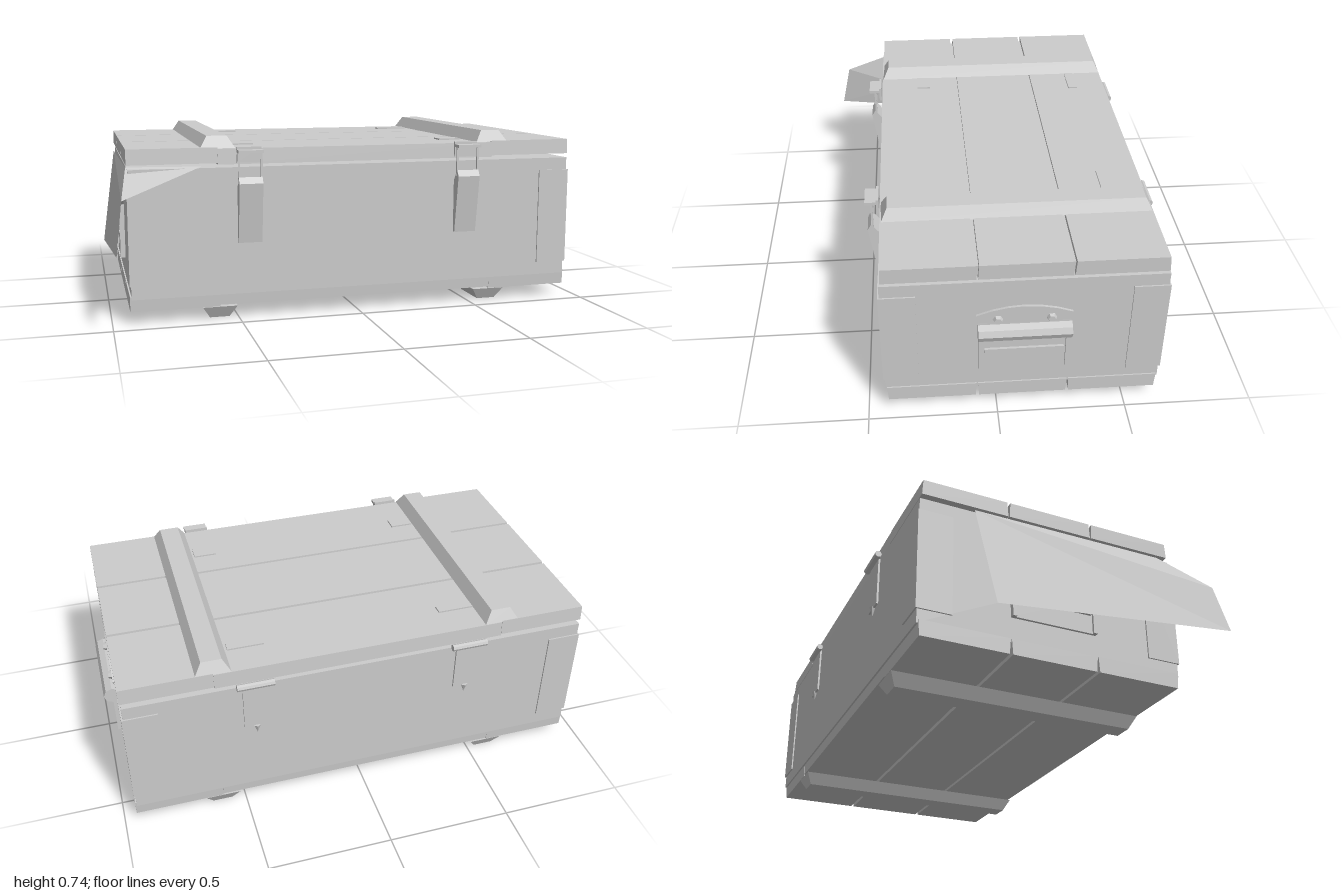
import * as THREE from 'three';

const mat = new THREE.MeshStandardMaterial({ color: 0xcccccc, flatShading: true, side: THREE.DoubleSide });

export function createModel() {
  const model = new THREE.Group();
  const crate = new THREE.Group();
  crate.name = 'crate';
  crate.position.set(0.01, 0, -0.1); // the crate sits off centre; the torn sheet reaches forward
  model.add(crate);

  const add = (name, geo, parent = crate) => {
    const mesh = new THREE.Mesh(geo, mat);
    mesh.name = name;
    parent.add(mesh);
    return mesh;
  };
  // box given by its limits on each axis
  const box = (name, x0, x1, y0, y1, z0, z1, parent) =>
    add(name, new THREE.BoxGeometry(x1 - x0, y1 - y0, z1 - z0)
      .translate((x0 + x1) / 2, (y0 + y1) / 2, (z0 + z1) / 2), parent);
  // box whose face on side s of the y axis is shrunk by dx and dz
  const tapered = (name, w, h, d, dx, dz, s) => {
    const geo = new THREE.BoxGeometry(w, h, d);
    const p = geo.attributes.position;
    for (let i = 0; i < p.count; i++) {
      if (p.getY(i) * s <= 0) continue;
      p.setX(i, p.getX(i) - Math.sign(p.getX(i)) * dx);
      p.setZ(i, p.getZ(i) - Math.sign(p.getZ(i)) * dz);
    }
    return add(name, geo);
  };

  box('body', -0.935, 0.935, 0.1, 0.612, -0.53, 0.53);

  // planks of the lid and floor: three rows, split under the battens
  for (const s of [1, -1]) {
    const part = s > 0 ? 'lid' : 'floor';
    for (let row = -1; row <= 1; row++) {
      for (let col = -1; col <= 1; col++) {
        const w = col === 0 ? 1.17 : 0.355;
        const plank = tapered(part + 'Plank', w, 0.062, 0.346, 0, 0.004, s);
        const lift = col === 0 ? -0.006 : 0;
        plank.position.set(col * 0.763, (s > 0 ? 0.66 : 0.081) + s * lift, row * 0.351);
      }
    }
    // battens across the planks, with bevelled sides and ends
    for (const x of [-0.585, 0.585]) {
      tapered(part + 'Batten', 0.14, 0.048, 1.04, 0.03, 0.025, s)
        .position.set(x, s > 0 ? 0.711 : 0.024, 0);
    }
  }
  box('lidLining', -0.92, 0.92, 0.63, 0.675, -0.52, 0.52);

  // thin plates wrapped round the four corners
  for (const sx of [1, -1]) {
    for (const sz of [1, -1]) {
      const shape = new THREE.Shape([[-0.13, 0.006], [0.006, 0.006], [0.006, -0.13], [0, -0.13], [0, 0], [-0.13, 0]]
        .map(([x, z]) => new THREE.Vector2(x * sx, -z * sz)));
      const geo = new THREE.ExtrudeGeometry(shape, { depth: 0.405, bevelEnabled: false }).rotateX(-Math.PI / 2);
      add('cornerPlate', geo).position.set(0.935 * sx, 0.155, 0.53 * sz);
    }
  }

  // front latches with a hook over the lid, and hinges on the back
  for (const x of [-0.463, 0.458]) {
    const latch = new THREE.Group();
    latch.name = 'frontLatch';
    latch.position.x = x;
    crate.add(latch);
    const side = new THREE.Shape([[0.53, 0.31], [0.545, 0.31], [0.58, 0.55], [0.565, 0.575], [0.53, 0.53]]
      .map(([z, y]) => new THREE.Vector2(-z, y)));
    add('latchLever', new THREE.ExtrudeGeometry(side, { depth: 0.095, bevelEnabled: false })
      .rotateY(Math.PI / 2).translate(-0.0475, 0, 0), latch);
    for (const s of [-0.045, 0.045]) {
      box('latchRod', s - 0.004, s + 0.004, 0.55, 0.68, 0.555, 0.563, latch);
    }
    box('latchCatch', -0.05, 0.05, 0.63, 0.692, 0.53, 0.54, latch);
    box('latchHook', -0.05, 0.05, 0.67, 0.682, 0.53, 0.585, latch);
    box('latchLidPlate', -0.048, 0.048, 0.685, 0.691, 0.3, 0.36, latch);
  }
  for (const x of [-0.44, 0.432]) {
    const hinge = new THREE.Group();
    hinge.name = 'backHinge';
    hinge.position.x = x;
    crate.add(hinge);
    box('hingeLeaf', -0.05, 0.05, 0.41, 0.615, -0.538, -0.53, hinge);
    box('hingeLidPlate', -0.073, 0.073, 0.685, 0.691, -0.39, -0.35, hinge);
    add('hingeBarrel', new THREE.CylinderGeometry(0.014, 0.014, 0.146, 8).rotateZ(Math.PI / 2), hinge)
      .position.set(0, 0.622, -0.546);
    add('hingePin', new THREE.ConeGeometry(0.014, 0.04, 6).rotateX(Math.PI), hinge)
      .position.set(0, 0.395, -0.536);
  }

  // carrying handle on each end
  for (const s of [1, -1]) {
    const handle = new THREE.Group();
    handle.name = 'endHandle';
    handle.position.x = 0.935 * s;
    handle.rotation.y = s > 0 ? 0 : Math.PI;
    crate.add(handle);
    const plate = new THREE.Shape();
    plate.moveTo(-0.18, 0.46);
    plate.quadraticCurveTo(0, 0.535, 0.18, 0.46);
    plate.lineTo(0.13, 0.415);
    plate.lineTo(-0.13, 0.415);
    add('handlePlate', new THREE.ExtrudeGeometry(plate, { depth: 0.01, bevelEnabled: false, curveSegments: 6 })
      .rotateY(Math.PI / 2), handle);
    for (const z of [-0.1, 0.1]) {
      add('rivet', new THREE.CylinderGeometry(0.014, 0.02, 0.014, 6).rotateZ(-Math.PI / 2), handle)
        .position.set(0.016, 0.44, z);
    }
    add('grip', new THREE.CylinderGeometry(0.035, 0.035, 0.35, 8).rotateX(Math.PI / 2), handle)
      .position.set(s > 0 ? 0.02 : 0, 0.39, 0);
    box('lowerPlate', 0, 0.01, 0.2, 0.35, -0.17, 0.17, handle);
    box('plateRib', 0, 0.02, 0.275, 0.3, -0.15, 0.15, handle);
    for (const z of [-0.165, 0.165]) {
      box('handleArm', 0, 0.02, 0.2, 0.39, z - 0.008, z + 0.008, handle);
    }
  }

  // bent sheet hanging from one end and its front corner
  const sheet = new THREE.BufferGeometry();
  sheet.setAttribute('position', new THREE.Float32BufferAttribute([
    -0.94, 0.61, -0.42, -1, 0.2, -0.36, -0.985, 0.32, 0.66,
    -0.96, 0.52, 0.615, -0.64, 0.618, 0.425, -0.93, 0.618, 0.38], 3));
  sheet.setIndex([0, 1, 2, 0, 2, 3, 0, 3, 5, 5, 3, 4]);
  sheet.computeVertexNormals();
  add('bentSheet', sheet, model);

  return model;
}
